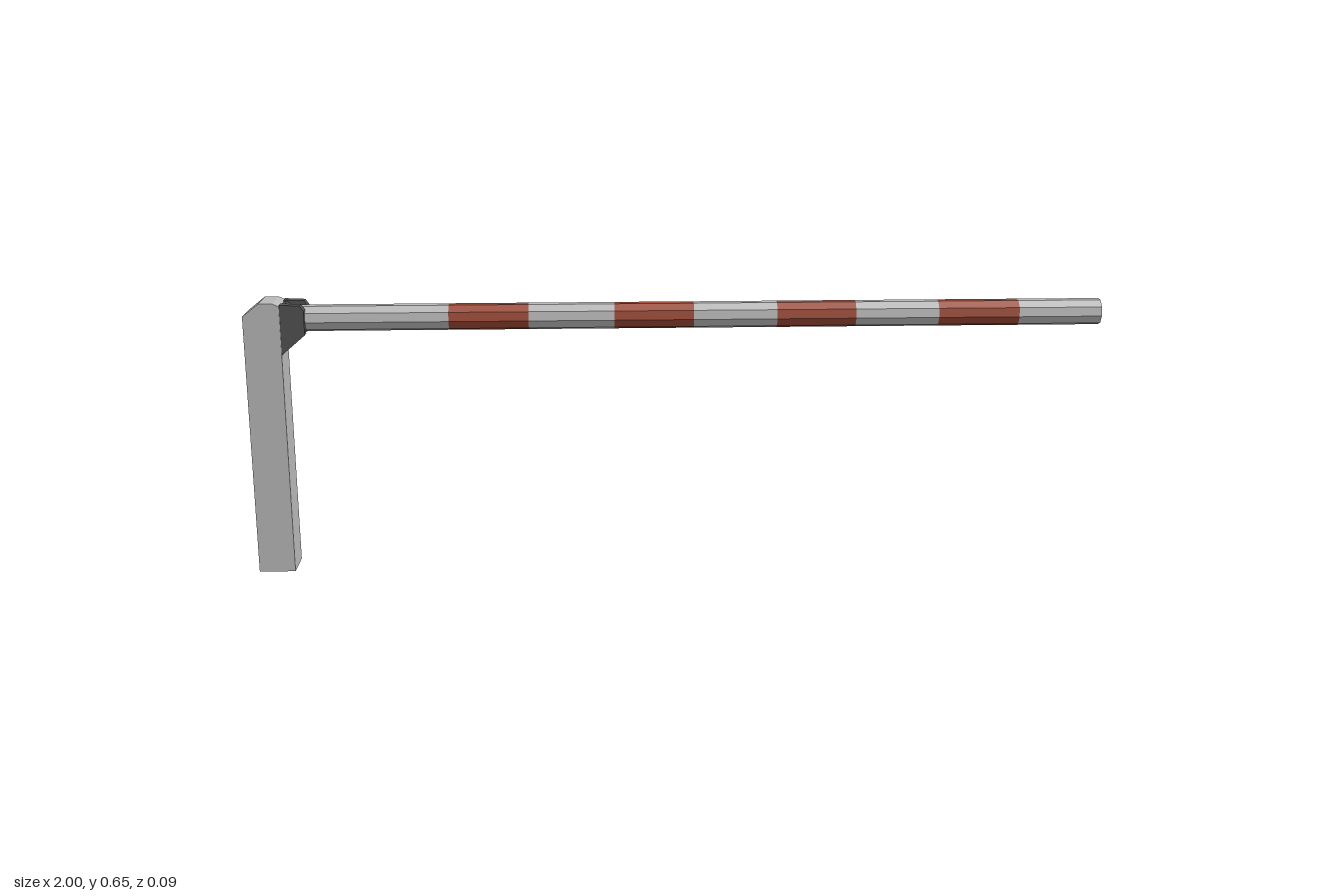
import * as THREE from 'three';

const material = (name, color) => {
  const m = new THREE.MeshStandardMaterial({ color, flatShading: true });
  m.name = name;
  return m;
};

export function createModel() {
  const grey = material('light grey', 0xb9b9b9);
  const red = material('rust red', 0x9c4a36);
  const dark = material('dark grey', 0x525252);
  const group = new THREE.Group();
  group.name = 'barrier';

  const add = (name, geometry, mat) => {
    const mesh = new THREE.Mesh(geometry, mat);
    mesh.name = name;
    group.add(mesh);
    return mesh;
  };

  // side profile extruded between two z values
  const slab = (name, points, z0, z1, mat) => {
    const shape = new THREE.Shape(points.map(([x, y]) => new THREE.Vector2(x, y)));
    const geometry = new THREE.ExtrudeGeometry(shape, { depth: z1 - z0, bevelEnabled: false });
    geometry.translate(0, 0, z0);
    return add(name, geometry, mat);
  };

  // post with chamfered top
  slab('post', [[-1, 0], [-0.915, 0], [-0.915, 0.645], [-0.93, 0.652], [-0.962, 0.652], [-1, 0.622]],
    -0.044, 0.044, grey);

  // bracket cheeks on both sides of the pole, joined by a back plate
  const cheek = [[-0.915, 0.53], [-0.86, 0.577], [-0.86, 0.634], [-0.868, 0.646], [-0.915, 0.648]];
  slab('bracketCheekLeft', cheek, 0.02, 0.042, dark);
  slab('bracketCheekRight', cheek, -0.042, -0.02, dark);
  slab('bracketBack', [[-0.915, 0.578], [-0.893, 0.578], [-0.893, 0.634], [-0.907, 0.645], [-0.915, 0.645]],
    -0.02, 0.02, dark);

  // nine-sided pole in alternating bands, one corner pointing down
  const bands = [-0.91, -0.53, -0.345, -0.145, 0.04, 0.235, 0.42, 0.615, 0.805, 1];
  for (let i = 0; i < bands.length - 1; i++) {
    const length = bands[i + 1] - bands[i];
    const open = i > 0 && i < bands.length - 2;
    const geometry = new THREE.CylinderGeometry(0.0313, 0.0313, length, 9, 1, open);
    geometry.rotateY(Math.PI / 2); // first corner to +x
    geometry.rotateZ(-Math.PI / 2); // axis to +x, corner down
    geometry.translate((bands[i] + bands[i + 1]) / 2, 0.6095, 0);
    add(i % 2 ? 'redBand' : 'greyBand', geometry, i % 2 ? red : grey);
  }
  return group;
}
